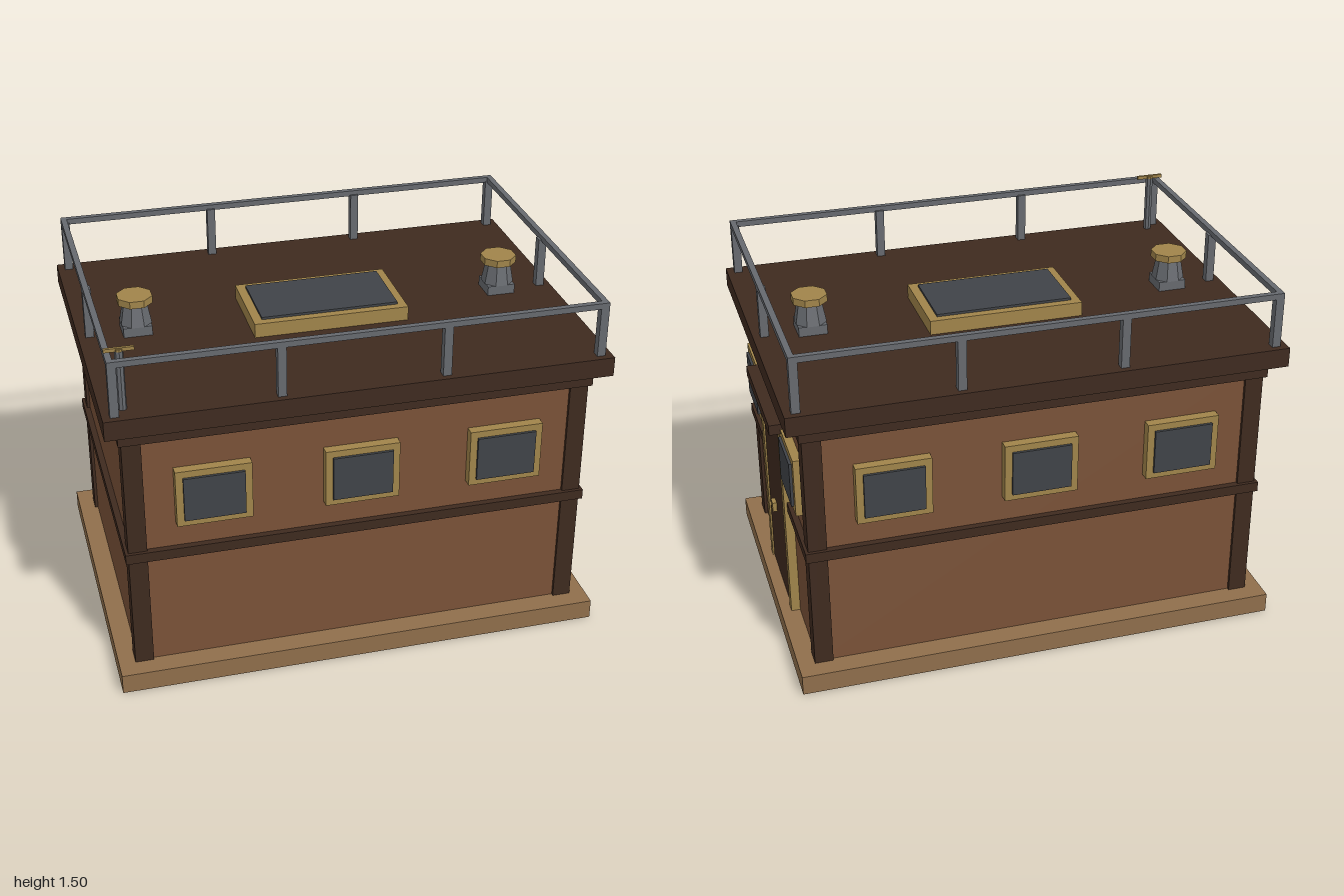
import * as THREE from 'three';

const mat = (color) => new THREE.MeshStandardMaterial({ color, flatShading: true });

export function createModel() {
  const model = new THREE.Group();
  const wall = mat(0x7a5238), trim = mat(0x3e2a1f), stone = mat(0x8f6e4b);
  const brass = mat(0xa0844a), glass = mat(0x404348), metal = mat(0x66696e);

  const add = (name, geometry, material, x, y, z, parent = model) => {
    const mesh = new THREE.Mesh(geometry, material);
    mesh.name = name;
    mesh.position.set(x, y, z);
    parent.add(mesh);
    return mesh;
  };
  // Box given by its minimum and maximum on each axis
  const box = (name, material, x0, x1, y0, y1, z0, z1, parent) =>
    add(name, new THREE.BoxGeometry(x1 - x0, y1 - y0, z1 - z0), material,
      (x0 + x1) / 2, (y0 + y1) / 2, (z0 + z1) / 2, parent);

  // Cabin shell
  box('base', stone, -1, 1, 0, 0.083, -0.705, 0.705);
  box('walls', wall, -0.92, 0.92, 0.083, 1.17, -0.615, 0.615);
  box('roof', trim, -1, 1, 1.17, 1.25, -0.705, 0.705);
  box('lowerBand', trim, -0.945, 0.945, 0.57, 0.612, -0.642, 0.642);
  box('upperBand', trim, -0.945, 0.945, 1.1, 1.143, -0.642, 0.642);
  for (const sx of [-1, 1]) for (const sz of [-1, 1])
    add('cornerPost', new THREE.BoxGeometry(0.075, 1.087, 0.078), trim, sx * 0.8955, 0.6265, sz * 0.589);

  // Windows: a raised frame with a pane standing slightly proud of it
  const addWindow = (x, z, angle, width) => {
    const win = new THREE.Group();
    win.name = 'window';
    box('windowFrame', brass, -width / 2, width / 2, -0.122, 0.122, -0.025, 0.02, win);
    box('windowPane', glass, -width / 2 + 0.029, width / 2 - 0.029, -0.094, 0.094, 0, 0.031, win);
    win.position.set(x, 0.843, z);
    win.rotation.y = angle;
    model.add(win);
  };
  for (const x of [-0.59, 0, 0.59]) {
    addWindow(x, 0.635, 0, 0.3);
    addWindow(x, -0.635, Math.PI, 0.3);
  }
  for (const z of [-0.388, 0.388]) addWindow(0.935, z, Math.PI / 2, 0.284);

  // Door on the left side
  box('door', trim, 0.91, 0.95, 0.083, 0.945, -0.2, 0.2);
  for (const s of [-1, 1])
    add('doorJamb', new THREE.BoxGeometry(0.046, 0.862, 0.045), brass, 0.934, 0.514, s * 0.2225);
  box('doorLintel', trim, 0.948, 1, 0.945, 0.988, -0.27, 0.27);
  box('doorKnob', brass, 0.945, 0.968, 0.416, 0.458, 0.016, 0.058);

  // Roof hatch
  box('hatchFrame', brass, -0.318, 0.318, 1.25, 1.309, -0.187, 0.187);
  box('hatchGlass', glass, -0.282, 0.282, 1.3, 1.319, -0.153, 0.153);

  // Vents: square foot, tapered octagonal stack, octagonal cap
  for (const x of [-0.765, 0.765]) {
    const vent = new THREE.Group();
    vent.name = 'vent';
    vent.position.set(x, 1.25, 0);
    model.add(vent);
    box('ventFoot', metal, -0.058, 0.058, 0, 0.04, -0.058, 0.058, vent);
    const stack = add('ventStack', new THREE.CylinderGeometry(0.05, 0.067, 0.09, 8), metal, 0, 0.085, 0, vent);
    const cap = add('ventCap', new THREE.CylinderGeometry(0.074, 0.074, 0.03, 8), brass, 0, 0.143, 0, vent);
    stack.rotation.y = cap.rotation.y = Math.PI / 8;
  }

  // Railing
  const railPost = new THREE.BoxGeometry(0.034, 0.21, 0.034);
  for (const s of [-1, 1]) {
    for (const x of [-0.953, -0.323, 0.323, 0.953]) add('railPost', railPost, metal, x, 1.355, s * 0.662);
    add('railPost', railPost, metal, s * 0.953, 1.355, 0);
    add('longRail', new THREE.BoxGeometry(1.94, 0.024, 0.024), metal, 0, 1.466, s * 0.667);
    add('sideRail', new THREE.BoxGeometry(0.024, 0.024, 1.31), metal, s * 0.958, 1.466, 0);
  }

  // Mast with a small crossbar
  add('mast', new THREE.CylinderGeometry(0.017, 0.017, 0.24, 8), metal, -0.915, 1.37, 0.617);
  box('mastBar', brass, -0.972, -0.858, 1.489, 1.503, 0.611, 0.623);
  add('mastTip', new THREE.CylinderGeometry(0.015, 0.015, 0.012, 8), brass, -0.915, 1.494, 0.617);

  return model;
}
